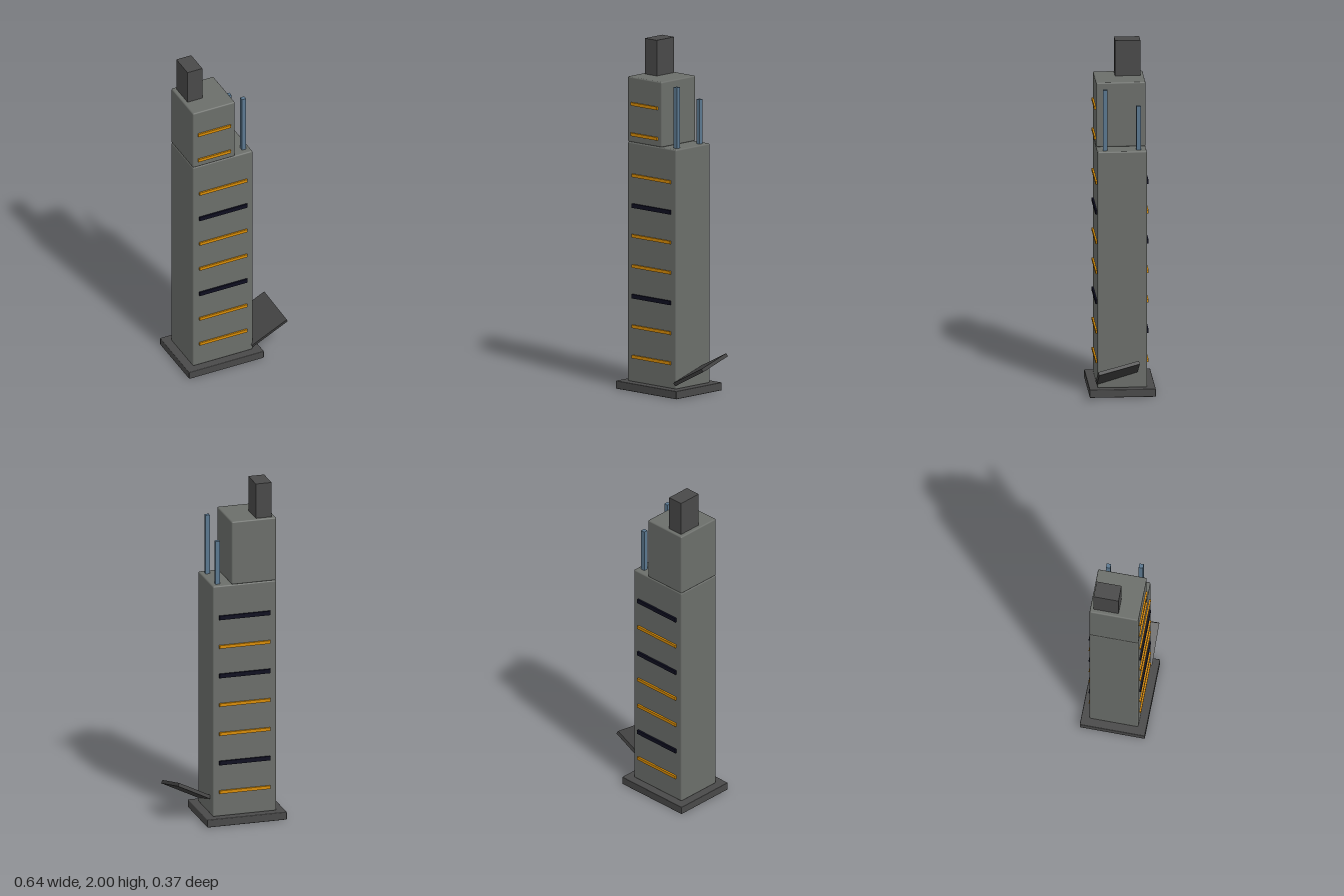
import * as THREE from 'three';
import { RoundedBoxGeometry } from 'three/addons/geometries/RoundedBoxGeometry.js';

const material = (name, color) => {
  const m = new THREE.MeshStandardMaterial({ color });
  m.name = name;
  return m;
};

export function createModel() {
  const concrete = material('concrete grey', 0x6b6e6a);
  const darkGrey = material('dark grey', 0x494949);
  const charcoal = material('charcoal', 0x3f3f3f);
  const amber = material('lit window amber', 0xd88c05);
  const navy = material('unlit window navy', 0x0e0e20);
  const steel = material('steel blue', 0x5b7890);

  const tower = new THREE.Group();
  tower.name = 'tower';

  // Box given by its extents on each axis, with an optional softened edge
  const block = (name, [x0, x1], [y0, y1], [z0, z1], mat, bevel = 0) => {
    const size = [x1 - x0, y1 - y0, z1 - z0];
    const geometry = bevel
      ? new RoundedBoxGeometry(...size, 2, bevel)
      : new THREE.BoxGeometry(...size);
    const mesh = new THREE.Mesh(geometry, mat);
    mesh.name = name;
    mesh.position.set((x0 + x1) / 2, (y0 + y1) / 2, (z0 + z1) / 2);
    tower.add(mesh);
    return mesh;
  };

  // Stacked masses
  block('base', [-0.32, 0.15], [0, 0.046], [-0.188, 0.186], darkGrey, 0.004);
  block('mainBlock', [-0.273, 0.103], [0.044, 1.42], [-0.141, 0.139], concrete, 0.008);
  block('upperBlock', [-0.273, -0.008], [1.42, 1.795], [-0.141, 0.139], concrete, 0.008);
  block('chimney', [-0.25, -0.157], [1.79, 2], [-0.121, 0.022], darkGrey);

  // Antenna masts on the step
  block('frontMast', [0.052, 0.077], [1.41, 1.77], [0.08, 0.105], steel);
  block('backMast', [0.052, 0.077], [1.41, 1.675], [-0.108, -0.083], steel);

  // Window strips, listed bottom to top: A is lit, N is unlit
  const strip = (name, x, y, z, code) => {
    const half = code === 'A' ? 0.009 : 0.012;
    block(name, x, [y - half, y + half], z, code === 'A' ? amber : navy);
  };
  const wide = [-0.235, 0.066];
  const frontZ = [0.139, 0.1485];
  const backZ = [-0.152, -0.1425 + 0.002];
  [...'AANAANA'].forEach((c, i) => strip('frontWindow', wide, 0.19 + i * 0.1735, frontZ, c));
  [...'ANAANAN'].forEach((c, i) => strip('backWindow', wide, 0.19 + i * 0.1735, backZ, c));
  for (const y of [1.466, 1.641]) strip('upperWindow', [-0.243, -0.038], y, frontZ, 'A');

  // Tilted slab leaning out from the foot of the tower
  const slab = new THREE.Mesh(new THREE.BoxGeometry(0.245, 0.02, 0.24), charcoal);
  slab.name = 'entranceSlab';
  slab.position.set(0.192, 0.155, 0.031);
  slab.rotation.set(0.262, 0, 0.463, 'ZYX');
  tower.add(slab);

  return tower;
}
